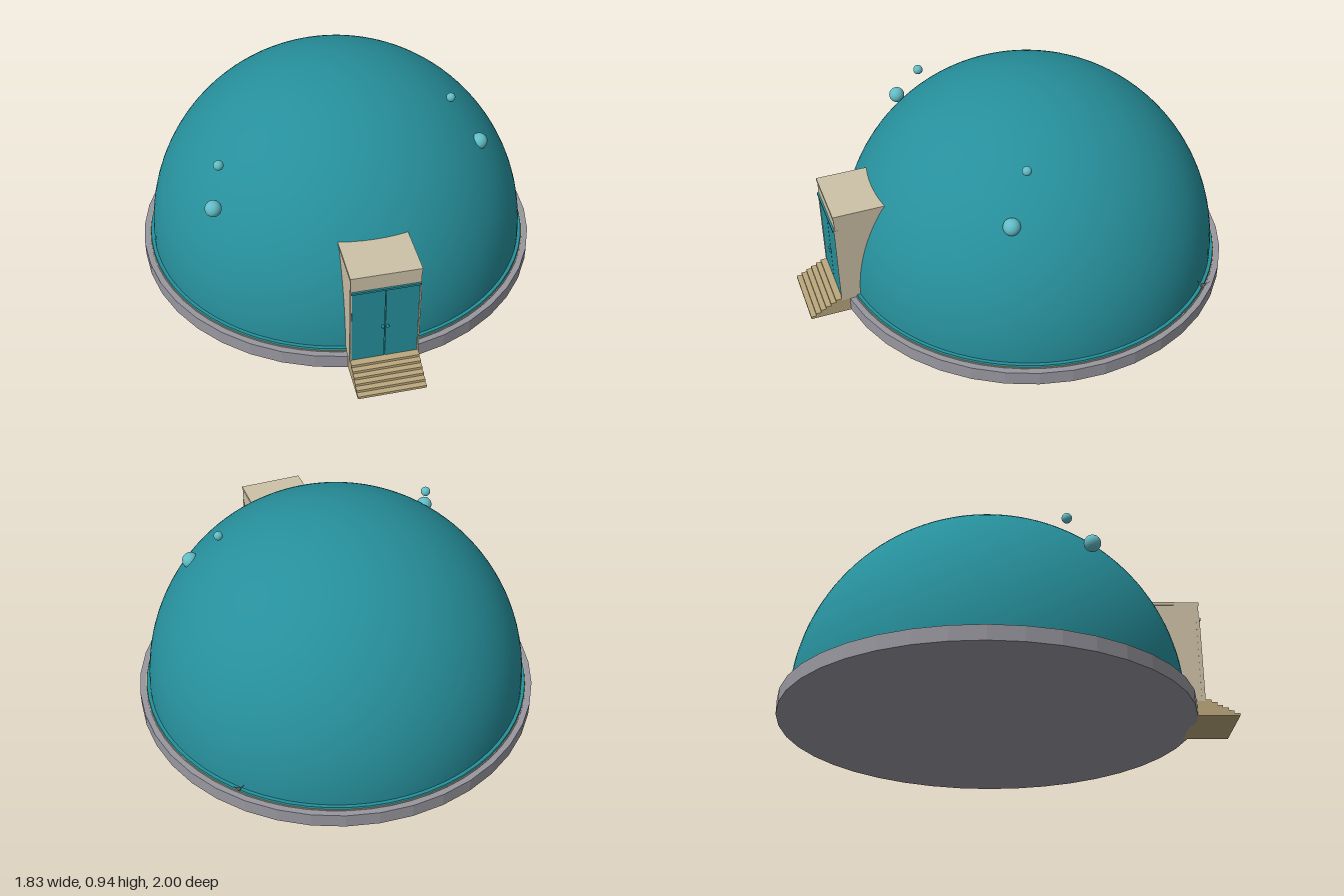
import * as THREE from 'three';

const mat = (name, color, side = THREE.FrontSide) => {
  const m = new THREE.MeshStandardMaterial({ color, side });
  m.name = name;
  return m;
};

export function createModel() {
  const teal = mat('dome teal', 0x268f9b);
  const grey = mat('base grey', 0x98979f);
  const cream = mat('porch cream', 0xcdc1a7);
  const tan = mat('step tan', 0xbca87d);
  const aqua = mat('bubble aqua', 0x62bcc6);

  const group = new THREE.Group();
  const CZ = -0.085; // centre of the round building

  const add = (name, geometry, material, x = 0, y = 0, z = 0) => {
    const mesh = new THREE.Mesh(geometry, material);
    mesh.name = name;
    mesh.position.set(x, y, z);
    group.add(mesh);
    return mesh;
  };
  const box = (name, material, w, y0, y1, z0, z1, x = 0) =>
    add(name, new THREE.BoxGeometry(w, y1 - y0, z1 - z0), material, x, (y0 + y1) / 2, (z0 + z1) / 2);

  // Faceted foundation disc
  const base = new THREE.CylinderGeometry(0.915, 0.915, 0.065, 40).toNonIndexed();
  base.computeVertexNormals();
  add('foundation', base, grey, 0, 0.0325, CZ);

  // Trim rings at the foot of the dome
  add('footTrim', new THREE.CylinderGeometry(0.888, 0.888, 0.004, 64), tan, 0, 0.067, CZ);
  add('footRing', new THREE.CylinderGeometry(0.882, 0.885, 0.012, 64), teal, 0, 0.072, CZ);

  // Smooth half-sphere shell
  add('dome', new THREE.SphereGeometry(0.867, 96, 40, 0, Math.PI * 2, 0, Math.PI / 2), teal, 0, 0.07, CZ);

  // Entrance porch: body, side jambs and lintel
  box('porchBody', cream, 0.294, 0.066, 0.54, 0.5, 0.846);
  for (const s of [-1, 1]) box('doorJamb', cream, 0.006, 0.066, 0.465, 0.84, 0.856, s * 0.145);
  box('lintel', cream, 0.294, 0.465, 0.525, 0.84, 0.853);
  box('lintelCap', cream, 0.298, 0.525, 0.54, 0.6, 0.856);

  // Double door with head strip and knobs
  box('doorBacking', teal, 0.284, 0.075, 0.455, 0.84, 0.848);
  for (const s of [-1, 1]) {
    box('doorLeaf', teal, 0.139, 0.077, 0.453, 0.846, 0.853, s * 0.0715);
    add('doorKnob', new THREE.SphereGeometry(0.007, 12, 8), teal, s * 0.01, 0.25, 0.857);
  }
  box('doorHeadStrip', teal, 0.29, 0.455, 0.465, 0.84, 0.861);

  // Entrance steps as one extruded stair profile
  const N = 6, zBack = 0.8, zTop = 0.858, run = (1 - zTop) / N, rise = 0.075 / N;
  const stair = new THREE.Shape();
  stair.moveTo(zBack, 0);
  stair.lineTo(1, 0);
  for (let i = 0; i < N; i++) {
    stair.lineTo(1 - i * run, (i + 1) * rise);
    stair.lineTo(1 - (i + 1) * run, (i + 1) * rise);
  }
  stair.lineTo(zBack, N * rise);
  const stairs = new THREE.ExtrudeGeometry(stair, { depth: 0.294, bevelEnabled: false });
  stairs.rotateY(-Math.PI / 2); // profile runs along z, width along x
  stairs.translate(0.147, 0, 0);
  add('entranceSteps', stairs, tan);

  // Small bubbles around the dome
  const bubbles = [
    [-0.62, 0.575, 0.345, 0.036],
    [-0.575, 0.72, 0.245, 0.022],
    [0.475, 0.815, 0.105, 0.02],
    [0.583, 0.637, 0.212, 0.037],
  ];
  for (const [x, y, z, r] of bubbles) add('bubble', new THREE.SphereGeometry(r, 24, 16), aqua, x, y, z);

  // Little open funnel pointing down at the back of the dome
  const funnel = new THREE.CylinderGeometry(0.03, 0.001, 0.055, 8, 1, true).toNonIndexed();
  funnel.computeVertexNormals();
  add('funnel', funnel, grey, 0.655, 0.1, -0.68);

  return group;
}
